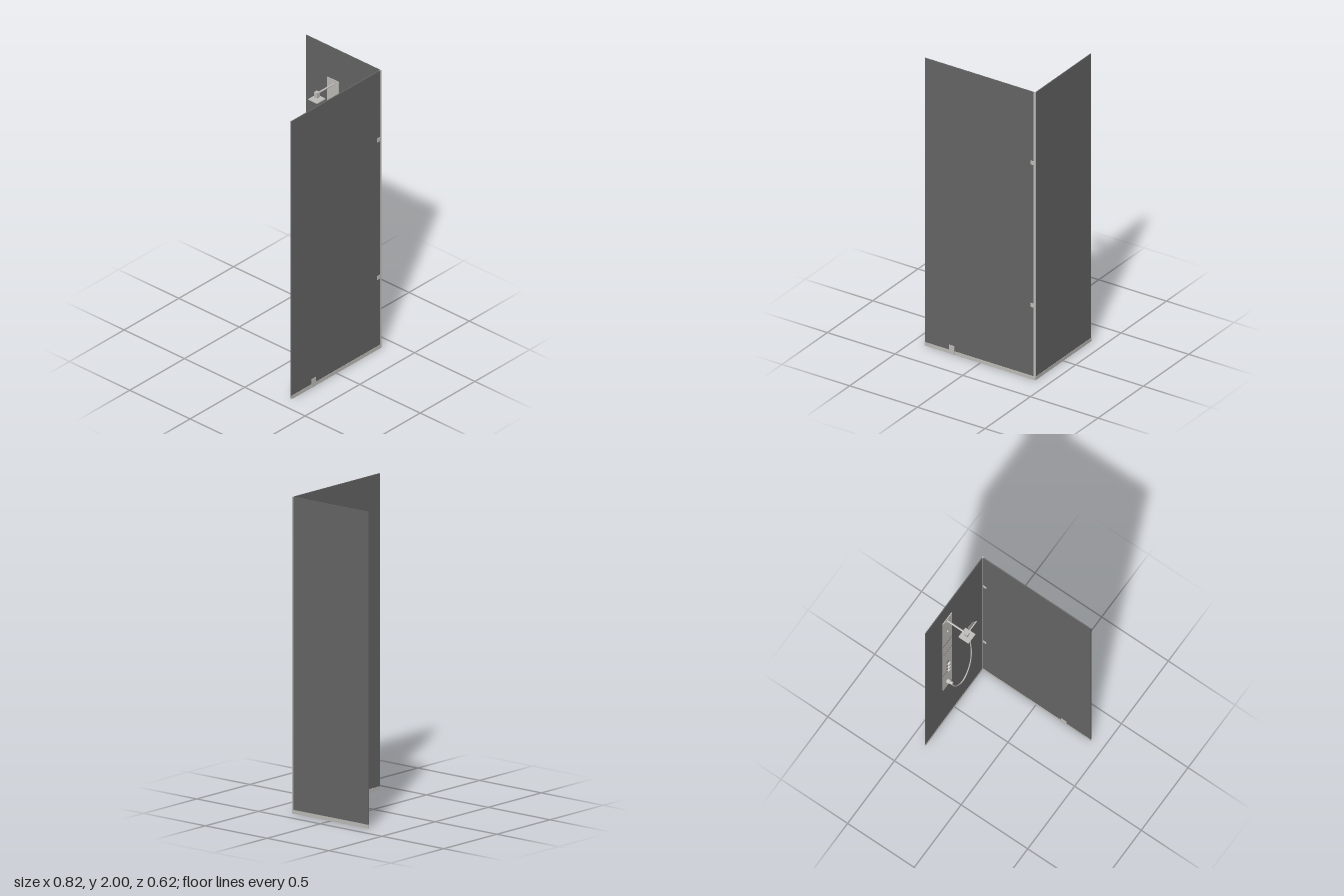
import * as THREE from 'three';

const material = (name, color, extra = {}) => {
  const m = new THREE.MeshStandardMaterial({ color, ...extra });
  m.name = name;
  return m;
};

export function createModel() {
  const glass = material('tinted glass', 0x666666);
  const metal = material('brushed metal', 0xc0beba);
  const dark = material('dark seam', 0x4a4a4a);
  const root = new THREE.Group();
  root.name = 'showerEnclosure';

  const add = (parent, name, geo, mat) => {
    const mesh = new THREE.Mesh(geo, mat);
    mesh.name = name;
    parent.add(mesh);
    return mesh;
  };
  // Box given by its extents on each axis
  const box = (parent, name, [x0, x1], [y0, y1], [z0, z1], mat) => {
    const mesh = add(parent, name, new THREE.BoxGeometry(x1 - x0, y1 - y0, z1 - z0), mat);
    mesh.position.set((x0 + x1) / 2, (y0 + y1) / 2, (z0 + z1) / 2);
    return mesh;
  };
  // Cylinder lying along x
  const rodX = (parent, name, r, x0, x1, y, z, mat) => {
    const geo = new THREE.CylinderGeometry(r, r, x1 - x0, 24).rotateZ(Math.PI / 2);
    const mesh = add(parent, name, geo, mat);
    mesh.position.set((x0 + x1) / 2, y, z);
    return mesh;
  };

  // Glass walls and their metal frame
  box(root, 'frontGlass', [-0.41, 0.397], [0.01, 2], [0.299, 0.306], glass);
  box(root, 'sideGlass', [0.401, 0.407], [0.01, 2], [-0.309, 0.3], glass);
  box(root, 'frontBottomRail', [-0.41, 0.408], [0, 0.025], [0.298, 0.308], metal);
  box(root, 'sideBottomRail', [0.4, 0.408], [0, 0.025], [-0.31, 0.3], metal);
  box(root, 'cornerPost', [0.396, 0.408], [0.025, 2], [0.298, 0.3085], metal);
  for (const y of [0.517, 1.508])
    box(root, 'hinge', [0.372, 0.398], [y - 0.013, y + 0.013], [0.295, 0.31], metal);
  box(root, 'bottomClamp', [-0.23, -0.19], [0, 0.06], [0.296, 0.31], metal);

  // Shower column on the inside of the side wall
  const shower = new THREE.Group();
  shower.name = 'showerColumn';
  root.add(shower);
  const zc = -0.083;
  box(shower, 'columnPlate', [0.395, 0.401], [0.587, 1.775], [-0.13, -0.035], metal);
  for (const y of [0.85, 1.205, 1.365])
    box(shower, 'columnSeam', [0.3942, 0.396], [y - 0.002, y + 0.002], [-0.13, -0.035], dark);
  rodX(shower, 'button', 0.009, 0.388, 0.396, 1.56, zc, metal);

  // Overhead shower
  rodX(shower, 'armFlange', 0.014, 0.39, 0.396, 1.74, zc, metal);
  rodX(shower, 'arm', 0.006, 0.25, 0.396, 1.74, zc, metal);
  box(shower, 'headNeck', [0.238, 0.264], [1.715, 1.752], [zc - 0.013, zc + 0.013], metal);
  box(shower, 'overheadPlate', [0.212, 0.288], [1.697, 1.704], [-0.12, -0.045], metal);

  // Control knobs
  for (const y of [0.897, 0.95, 1.005]) {
    rodX(shower, 'knobBase', 0.011, 0.385, 0.396, y, zc, dark);
    rodX(shower, 'knob', 0.0165, 0.372, 0.386, y, zc, metal);
  }

  // Hose outlet
  rodX(shower, 'outletBase', 0.016, 0.375, 0.396, 0.675, zc, metal);
  rodX(shower, 'outlet', 0.011, 0.357, 0.376, 0.675, zc, metal);

  // Hand shower with its holder
  const zh = 0.128, xh = 0.376;
  box(shower, 'holderMount', [0.384, 0.402], [0.998, 1.03], [0.11, 0.145], metal);
  box(shower, 'holderClip', [0.363, 0.387], [0.998, 1.03], [0.116, 0.14], metal);
  add(shower, 'handle', new THREE.CylinderGeometry(0.007, 0.007, 0.205, 20), metal)
    .position.set(xh, 1.083, zh);
  const head = add(shower, 'handShowerHead', new THREE.BoxGeometry(0.007, 0.075, 0.075), metal);
  head.position.set(0.368, 1.205, zh);
  head.rotation.z = 0.41;

  // Hose hanging in a loop from handle to outlet
  const hose = new THREE.CatmullRomCurve3([
    [xh, 0.985, zh], [0.372, 0.9, 0.129], [0.364, 0.75, 0.127], [0.358, 0.62, 0.105],
    [0.353, 0.535, 0.06], [0.352, 0.505, 0.015], [0.355, 0.535, -0.035],
    [0.361, 0.6, -0.068], [0.365, 0.67, -0.08],
  ].map(p => new THREE.Vector3(...p)));
  add(shower, 'hose', new THREE.TubeGeometry(hose, 80, 0.004, 10), metal);

  return root;
}
